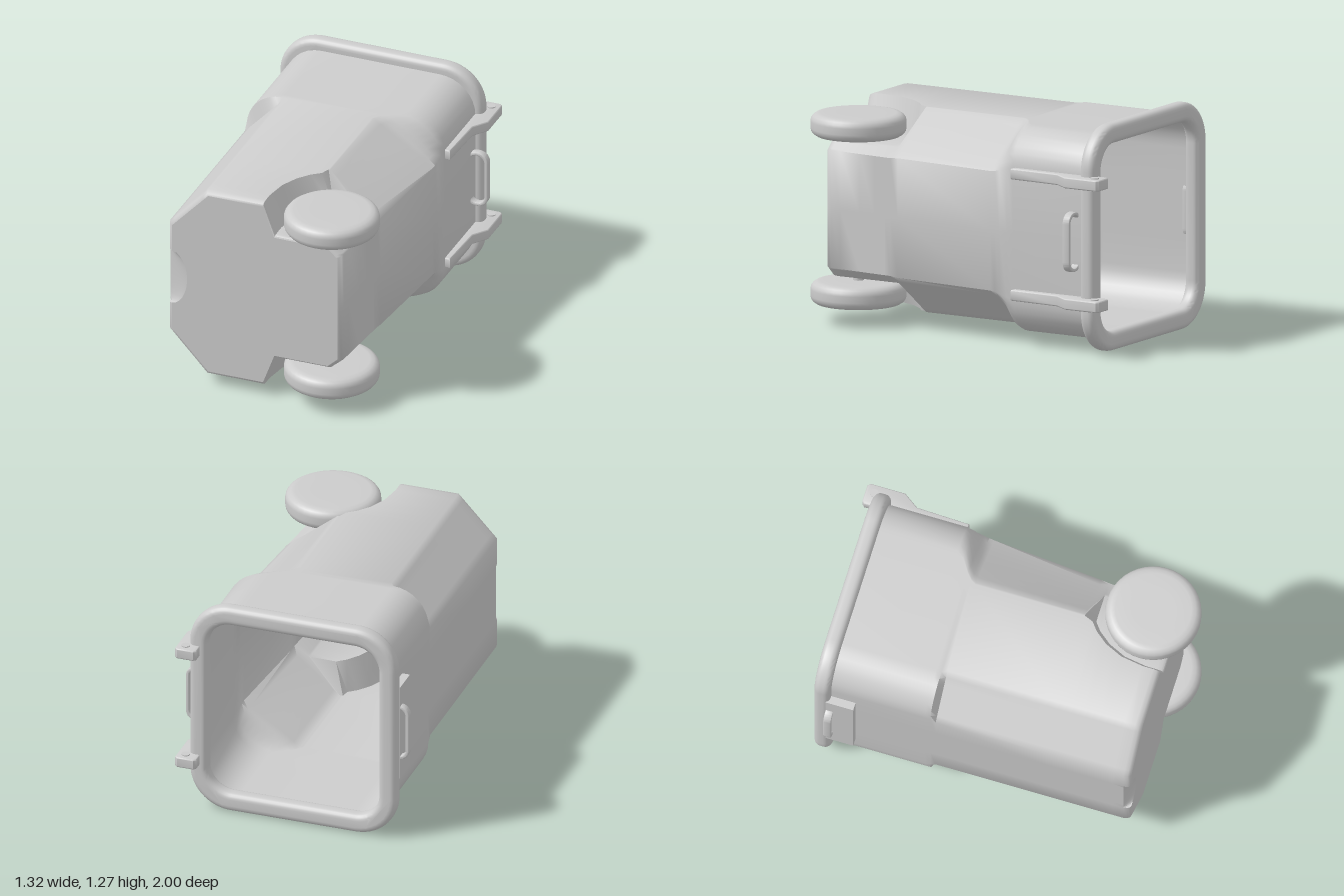
import * as THREE from 'three';
import { toCreasedNormals } from 'three/addons/utils/BufferGeometryUtils.js';

const MID = 0.635; // height of the symmetry plane
const CORNER_STEPS = 8;
const SCOOP_STEPS = 6;
const V = (x, y) => new THREE.Vector2(x, y);

// Corner blended between a straight chamfer (w = 0) and a round arc (w = 1)
function corner(from, to, centre, radius, startAngle, w) {
  return Array.from({ length: CORNER_STEPS + 1 }, (_, i) => {
    const t = i / CORNER_STEPS;
    const a = startAngle - t * Math.PI / 2;
    const arc = V(centre.x + Math.cos(a) * radius, centre.y + Math.sin(a) * radius);
    return from.clone().lerp(to, t).lerp(arc, w);
  });
}

// Closed cross-section of the bin: leftRound / rightRound set the corners,
// notchX is where the wheel recess starts, scoop is the grip under the base
function section({ z, leftRound = 0, rightRound = 0, notchX = null, scoop = 0, scale = 1 }) {
  const xr = 0.56 - 0.1 * THREE.MathUtils.clamp((z + 0.35) / 1.23, 0, 1);
  const half = [];
  for (let i = 0; i <= SCOOP_STEPS; i++) {
    const a = (i / SCOOP_STEPS) * Math.PI / 2;
    half.push(V(-0.565 + 0.095 * scoop * Math.cos(a), 0.17 * Math.sin(a)));
  }
  half.push(...corner(V(-0.565, 0.335), V(-0.34, 0.575), V(-0.355, 0.365), 0.21, Math.PI, leftRound));
  if (notchX !== null) {
    half.push(V(notchX, 0.575), V(notchX + 0.07, 0.387));
    half.push(...corner(V(0.4, 0.385), V(xr, 0.33), V(0, 0), 1, 0, 0));
  } else {
    const x = 0.19 + 0.15 * rightRound;
    half.push(V(x - 0.01, 0.575), V(x, 0.575));
    half.push(...corner(V(0.2, 0.575), V(xr, 0.335), V(xr - 0.21, 0.365), 0.21, Math.PI / 2, rightRound));
  }
  half.push(V(xr, 0));
  const lower = half.slice(1, -1).reverse().map(p => V(p.x, -p.y));
  return { z, points: [...half, ...lower].map(p => V(p.x * scale, MID + p.y * scale)) };
}

// Skin through sections; flip turns the faces inward
function loft(sections, flip = false) {
  const n = sections[0].points.length, pos = [], idx = [];
  sections.forEach(s => s.points.forEach(p => pos.push(p.x, p.y, s.z)));
  for (let i = 0; i < sections.length - 1; i++) {
    for (let j = 0; j < n; j++) {
      const k = (j + 1) % n, a = i * n + j, b = i * n + k, c = a + n, d = b + n;
      if (flip) idx.push(a, b, c, b, d, c);
      else idx.push(a, c, b, b, c, d);
    }
  }
  const g = new THREE.BufferGeometry();
  g.setAttribute('position', new THREE.Float32BufferAttribute(pos, 3));
  g.setIndex(idx);
  return toCreasedNormals(g, 0.9);
}

function roundedRect(Type, x0, x1, y0, y1, r) {
  const s = new Type();
  s.absarc(x1 - r, y1 - r, r, 0, Math.PI / 2);
  s.absarc(x0 + r, y1 - r, r, Math.PI / 2, Math.PI);
  s.absarc(x0 + r, y0 + r, r, Math.PI, Math.PI * 1.5);
  s.absarc(x1 - r, y0 + r, r, Math.PI * 1.5, Math.PI * 2);
  s.closePath();
  return s;
}

// Extrusion with rounded edges that keeps the shape's outline and total depth
function softExtrude(shape, depth, bevel) {
  const g = new THREE.ExtrudeGeometry(shape, {
    depth: depth - 2 * bevel, bevelEnabled: true, bevelSize: bevel, bevelThickness: bevel,
    bevelOffset: -bevel, bevelSegments: 5, curveSegments: 10,
  });
  g.translate(0, 0, bevel - depth / 2);
  return toCreasedNormals(g, 0.7);
}

export function createModel() {
  const model = new THREE.Group();
  model.name = 'wheeledBin';
  const grey = new THREE.MeshStandardMaterial({ color: 0xcccccc });
  const shell = new THREE.MeshStandardMaterial({ color: 0xcccccc, side: THREE.DoubleSide });
  const add = (name, geometry, material = grey) => {
    const m = new THREE.Mesh(geometry, material);
    m.name = name;
    model.add(m);
    return m;
  };

  // Body: round at the mouth, chamfered below, recessed for the wheels
  const specs = [
    { z: -0.87, leftRound: 1, rightRound: 1 },
    { z: -0.39, leftRound: 1, rightRound: 1 },
    { z: -0.35, leftRound: 1, rightRound: 0.85 },
    { z: -0.3, leftRound: 1, rightRound: 0.35 },
    { z: -0.27, leftRound: 1, rightRound: 0.12 },
    { z: -0.24 },
    { z: 0.39 },
    { z: 0.44, notchX: 0.17 },
    { z: 0.48, notchX: 0.12 },
    { z: 0.55, notchX: 0.065 },
    { z: 0.65, notchX: 0.02 },
    { z: 0.78, notchX: 0 },
    { z: 0.84, notchX: 0 },
    { z: 0.862, notchX: 0, scoop: 0.6, scale: 0.993 },
    { z: 0.875, notchX: 0, scoop: 0.9, scale: 0.978 },
    { z: 0.88, notchX: 0, scoop: 1, scale: 0.96 },
  ];
  const outer = specs.map(section);
  add('body', loft(outer), shell);
  const base = outer[outer.length - 1];
  add('base', new THREE.ShapeGeometry(new THREE.Shape(base.points))).position.z = base.z;

  // Hollow inside, following the outer wall
  const inner = specs.filter(s => s.z < 0.85).map(s => section({ ...s, scale: 0.95 }));
  add('innerWall', loft(inner, true), shell);
  const floor = inner[inner.length - 1];
  add('innerFloor', new THREE.ShapeGeometry(new THREE.Shape(floor.points)), shell).position.z = floor.z;

  // Rounded rim around the mouth
  const ring = roundedRect(THREE.Shape, -0.61, 0.6, 0, 1.27, 0.24);
  ring.holes.push(roundedRect(THREE.Path, -0.505, 0.495, 0.11, 1.16, 0.14));
  add('rim', softExtrude(ring, 0.092, 0.035)).position.z = -0.886;

  // Apron under the rim behind the front handle
  const apron = new THREE.BoxGeometry(0.05, 0.57, 0.16);
  add('handleApron', apron).position.set(-0.585, MID, -0.78);

  // Flat loop handles on both sides, set into the wall
  for (const [name, side, z] of [['frontHandle', -1, -0.837], ['rearHandle', 1, -0.793]]) {
    const loop = roundedRect(THREE.Shape, -0.065, 0.065, -0.167, 0.167, 0.06);
    loop.holes.push(roundedRect(THREE.Path, -0.045, 0.045, -0.148, 0.148, 0.044));
    add(name, softExtrude(loop, 0.044, 0.006)).position.set(side * 0.595, MID, z);
  }

  // Hinge arms with pins
  const arm = new THREE.Shape([
    V(0.54, 0.4), V(0.59, 0.395), V(0.6, 0.7), V(0.66, 0.785), V(0.66, 0.985),
    V(0.645, 1), V(0.55, 1), V(0.535, 0.985),
  ]);
  // Wheels: flat-faced discs with rounded shoulders
  const side = [[0, 0.066], [0.12, 0.066], [0.21, 0.065], [0.235, 0.06], [0.252, 0.049], [0.262, 0.034], [0.265, 0.018]];
  const tyre = [...side.map(([r, y]) => V(r, -y)), ...side.map(([r, y]) => V(r, y)).reverse()];
  for (const [label, s] of [['upper', 1], ['lower', -1]]) {
    const hinge = softExtrude(arm, 0.062, 0.008).rotateX(-Math.PI / 2);
    add(label + 'HingeArm', hinge).position.y = MID + s * 0.34;
    add(label + 'HingePin', new THREE.CylinderGeometry(0.024, 0.024, 0.074, 16))
      .position.set(0.61, MID + s * 0.34, -0.95);
    add(label + 'Wheel', new THREE.LatheGeometry(tyre, 40)).position.set(0.35, MID + s * 0.47, 0.735);
    // Hidden stub joining the wheel to its recess
    add(label + 'Axle', new THREE.CylinderGeometry(0.03, 0.03, 0.08, 16)).position.set(0.35, MID + s * 0.39, 0.735);
  }

  return model;
}
